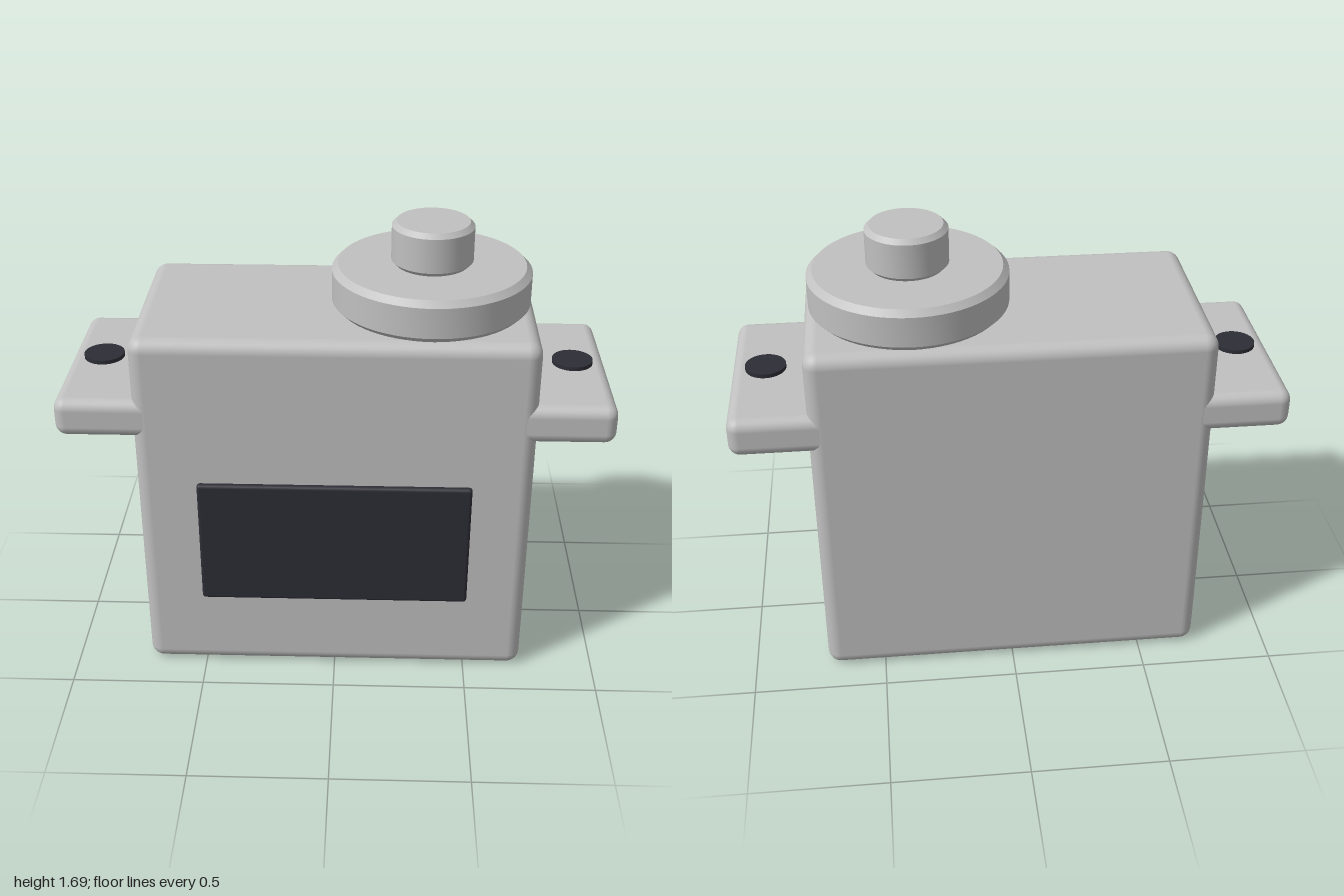
import * as THREE from 'three';
import { toCreasedNormals } from 'three/addons/utils/BufferGeometryUtils.js';
import { RoundedBoxGeometry } from 'three/addons/geometries/RoundedBoxGeometry.js';

const Z = -0.01; // centre line of the housing

export function createModel() {
  const group = new THREE.Group();
  const grey = new THREE.MeshStandardMaterial({ color: 0xc0c0c0 });
  grey.name = 'light grey plastic';
  const dark = new THREE.MeshStandardMaterial({ color: 0x2d2d36 });
  dark.name = 'dark label';

  const add = (name, geometry, material, x, y, z) => {
    const mesh = new THREE.Mesh(geometry, material);
    mesh.name = name;
    mesh.position.set(x, y, z);
    group.add(mesh);
  };

  // Upright disc with bevelled rims, standing on its base
  const bevelledDisc = (r, h, b) => {
    const profile = [[0, 0], [r - b, 0], [r, b], [r, h - b], [r - b, h], [0, h]]
      .map(([x, y]) => new THREE.Vector2(x, y));
    return toCreasedNormals(new THREE.LatheGeometry(profile, 64), 0.5);
  };

  // Housing and mounting flange
  add('housing', new RoundedBoxGeometry(1.44, 1.378, 0.75, 4, 0.05), grey, 0, 0.689, Z);
  add('mountingFlange', new RoundedBoxGeometry(2, 0.146, 0.748, 3, 0.042), grey, 0, 1.067, Z);

  // Output horn and its shaft
  add('outputHorn', bevelledDisc(0.361, 0.156, 0.022), grey, 0.341, 1.376, Z);
  add('outputShaft', bevelledDisc(0.148, 0.16, 0.017), grey, 0.341, 1.531, Z);

  // Dark front label
  add('frontLabel', new RoundedBoxGeometry(1, 0.5, 0.04, 2, 0.012), dark, 0, 0.565, 0.365);

  // Screw holes on the flange
  for (const side of [-1, 1]) {
    add(side > 0 ? 'leftScrewHole' : 'rightScrewHole',
      new THREE.CylinderGeometry(0.075, 0.075, 0.03, 32), dark, side * 0.875, 1.14, Z);
  }
  return group;
}
